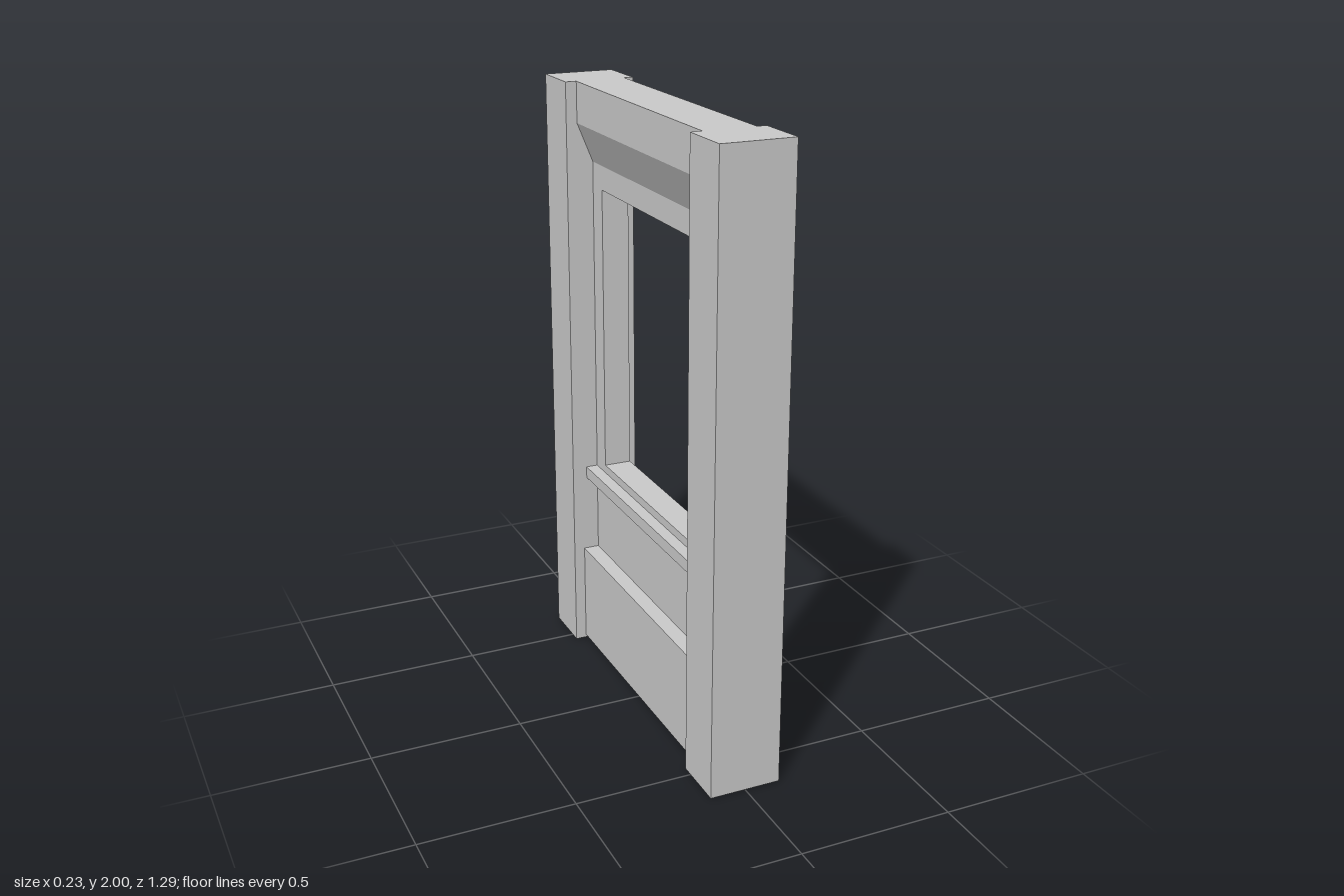
import * as THREE from 'three';

const material = new THREE.MeshStandardMaterial({ color: 0xcccccc, flatShading: true });
const HALF = 0.463; // half of the clear span between the posts

export function createModel() {
  const group = new THREE.Group();
  const add = (name, geometry) => {
    const mesh = new THREE.Mesh(geometry, material);
    mesh.name = name;
    group.add(mesh);
  };
  // Box from its minimum and maximum corners
  const box = (name, [x0, y0, z0], [x1, y1, z1]) =>
    add(name, new THREE.BoxGeometry(x1 - x0, y1 - y0, z1 - z0)
      .translate((x0 + x1) / 2, (y0 + y1) / 2, (z0 + z1) / 2));
  // Rail with a constant (x, y) section running between the posts
  const rail = (name, points) => {
    const shape = new THREE.Shape(points.map(([x, y]) => new THREE.Vector2(x, y)));
    add(name, new THREE.ExtrudeGeometry(shape, { depth: 2 * HALF, bevelEnabled: false })
      .translate(0, 0, -HALF));
  };

  // Posts at both ends
  box('frontPost', [-0.117, 0, HALF], [0.117, 2, 0.643]);
  box('backPost', [-0.117, 0, -0.643], [0.117, 2, -HALF]);

  // Lower wall: thick skirting on both faces and a sill ledge on one
  rail('lowerWall', [
    [-0.08, 0.01], [0.091, 0.01], [0.091, 0.355], [0.065, 0.355],
    [0.065, 0.693], [-0.027, 0.693], [-0.027, 0.665], [-0.067, 0.665],
    [-0.067, 0.625], [-0.027, 0.625], [-0.027, 0.355], [-0.08, 0.355],
  ]);

  // Upper wall: stepped band on one face, sloped underside on the other
  rail('upperWall', [
    [-0.027, 1.657], [0.065, 1.657], [0.065, 1.868], [0.087, 1.868],
    [0.087, 2], [-0.08, 2], [-0.08, 1.866], [-0.027, 1.737],
  ]);

  // Narrow wall strips beside the window opening
  box('frontJamb', [-0.027, 0.693, 0.395], [0.065, 1.657, HALF]);
  box('backJamb', [-0.027, 0.693, -HALF], [0.065, 1.657, -0.387]);

  return group;
}
